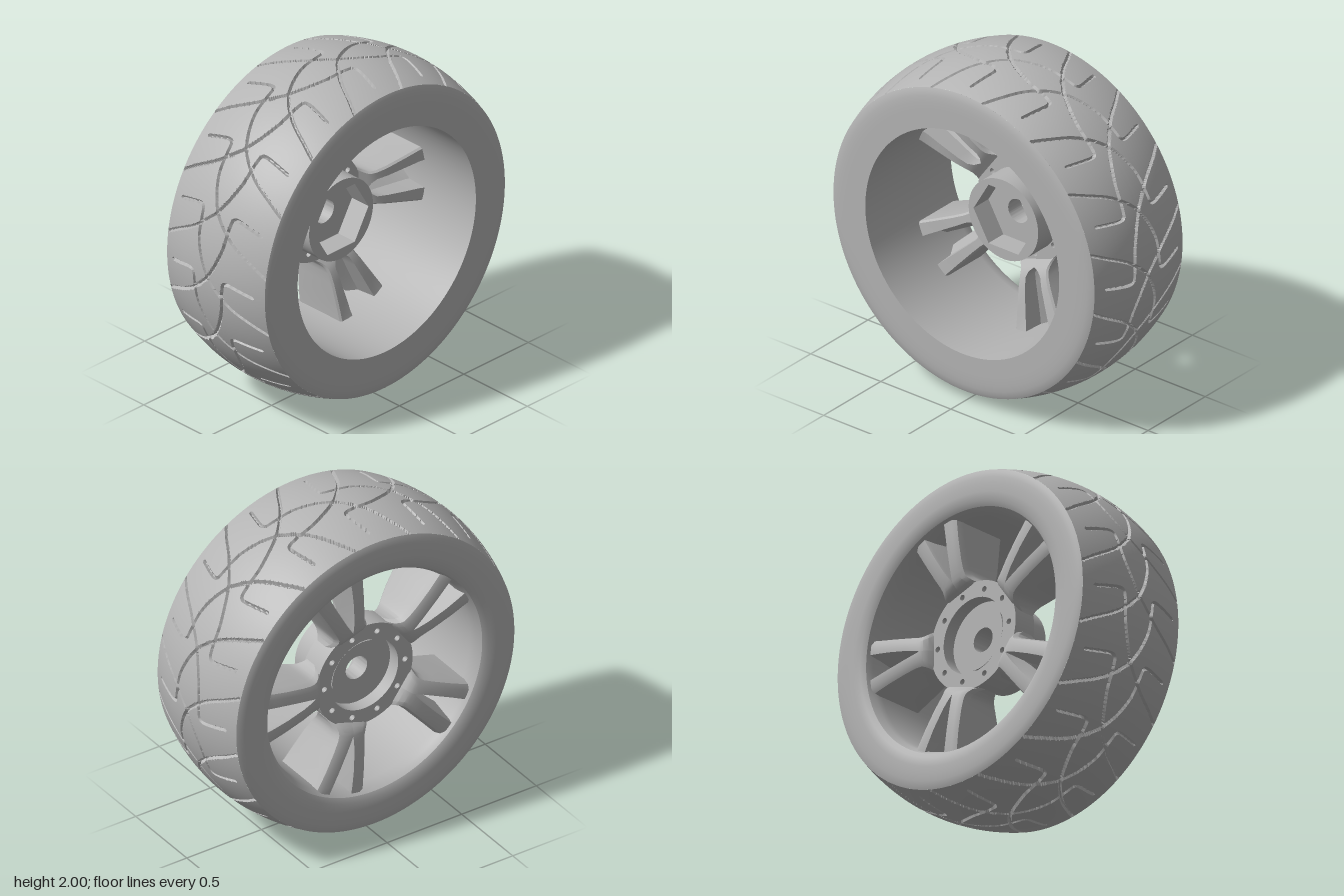
import * as THREE from 'three';
import { toCreasedNormals } from 'three/addons/utils/BufferGeometryUtils.js';

const grey = new THREE.MeshStandardMaterial({ color: 0xb4b4b4 });
grey.name = 'grey';

const REPEATS = 16, STEPS = 48, ROWS = 84; // tread pattern repeats and grid
const EDGE = 0.385;                        // half width of the tread band
const crown = z => 1 - 0.46 * z * z;       // tread radius across the width

function part(name, geometry, crease = 0.5) {
  const mesh = new THREE.Mesh(toCreasedNormals(geometry, crease), grey);
  mesh.name = name;
  return mesh;
}

function meshFrom(positions, index) {
  const g = new THREE.BufferGeometry();
  g.setAttribute('position', new THREE.Float32BufferAttribute(positions, 3));
  g.setIndex(index);
  return g;
}

// Profile of [radius, z] turned around the z axis
function turned(profile, segments = 96) {
  const pts = profile.map(([r, z]) => new THREE.Vector2(r, z));
  return new THREE.LatheGeometry(pts, segments).rotateX(Math.PI / 2);
}

// Flat disc with holes, from z0 to z1
function plate(radius, holes, z0, z1) {
  const shape = new THREE.Shape().absarc(0, 0, radius, 0, Math.PI * 2);
  shape.holes.push(...holes);
  return new THREE.ExtrudeGeometry(shape, { depth: z1 - z0, bevelEnabled: false, curveSegments: 48 })
    .translate(0, 0, z0);
}

const roundHole = (x, y, r) => new THREE.Path().absarc(x, y, r, 0, Math.PI * 2, true);

// Segments of the groove pattern: one long arc ending in a hook, mirrored and repeated
function grooveSegments(period) {
  const path = [[0.7, 0.42], [0.5, 0.29], [0.28, 0.14], [-0.05, 0], [-0.5, -0.085], [-0.85, -0.105],
    [-1.02, -0.115], [-1.06, -0.145], [-1.03, -0.22], [-0.98, -0.31]];
  const pts = new THREE.SplineCurve(path.map(([u, z]) => new THREE.Vector2(u * period, z))).getPoints(60);
  const segments = [];
  for (const side of [1, -1]) for (let k = -2; k <= 3; k++) {
    const moved = pts.map(p => [p.x + k * period, p.y * side]);
    for (let i = 0; i < moved.length - 1; i++) segments.push([...moved[i], ...moved[i + 1]]);
  }
  return segments;
}

// Tread grid sunk along the grooves, with vertices pulled onto the groove edges
function treadGeometry() {
  const period = Math.PI * 2 / REPEATS, half = 0.011, snap = 0.0046, depth = 0.02;
  const segments = grooveSegments(period);
  const cell = [];
  for (let i = 0; i < STEPS; i++) for (let j = 0; j <= ROWS; j++) {
    let a = i / STEPS * period, z = -EDGE + 2 * EDGE * j / ROWS, drop = 0;
    let best = 9, dx = 0, dz = 0;
    for (const [x0, z0, x1, z1] of segments) {
      const ex = x1 - x0, ez = z1 - z0;
      const t = THREE.MathUtils.clamp(((a - x0) * ex + (z - z0) * ez) / (ex * ex + ez * ez), 0, 1);
      const px = a - x0 - t * ex, pz = z - z0 - t * ez, d = Math.hypot(px, pz);
      if (d < best) { best = d; dx = px; dz = pz; }
    }
    if (j > 0 && j < ROWS) {
      if (Math.abs(best - half) < snap) {
        a += dx * (half / best - 1);
        z = THREE.MathUtils.clamp(z + dz * (half / best - 1), -EDGE, EDGE);
      } else if (best < half) drop = depth;
    }
    cell.push([a, z, crown(z) - drop]);
  }
  const positions = [], index = [], n = REPEATS * STEPS, row = ROWS + 1;
  for (let k = 0; k < REPEATS; k++) for (const [a, z, r] of cell) {
    positions.push(r * Math.cos(a + k * period), r * Math.sin(a + k * period), z);
  }
  for (let i = 0; i < n; i++) for (let j = 0; j < ROWS; j++) {
    const a = i * row + j, b = (i + 1) % n * row + j;
    index.push(a, b, b + 1, a, b + 1, a + 1);
  }
  return meshFrom(positions, index);
}

// One leg of a forked spoke, lofted outward along +x; side mirrors it
function spokeLeg(side) {
  // radius, half width, front z, back z, slot half widths: front, middle, back
  const stations = [
    [0.295, 0.14, -0.135, -0.272, 0, 0, 0],
    [0.315, 0.122, -0.12, -0.305, 0, 0, 0],
    [0.34, 0.108, -0.1, -0.325, 0, 0, 0],
    [0.36, 0.104, -0.085, -0.333, 0.035, 0, 0],
    [0.39, 0.107, -0.07, -0.34, 0.055, 0, 0.008],
    [0.45, 0.12, -0.05, -0.35, 0.062, 0.006, 0.022],
    [0.57, 0.147, -0.025, -0.36, 0.076, 0.022, 0.045],
    [0.66, 0.168, -0.008, -0.362, 0.086, 0.034, 0.06],
    [0.74, 0.19, 0.02, -0.362, 0.095, 0.045, 0.072],
  ];
  const positions = [], index = [];
  let count = 0;
  for (const [r, w, f, b, sf, sm, sb] of stations) {
    const m = (f + b) / 2;
    const section = [
      [sm, m], [sb, b + 0.02], [sb * 1.15, b], [w - 0.045, b], [w - 0.015, b + 0.014], [w, b + 0.05],
      [w, f - 0.012], [w - 0.01, f], [sf, f], [sf * 0.9, m + 0.06],
    ];
    if (side < 0) section.reverse();
    for (const [y, z] of section) positions.push(r, y * side, z);
    count = section.length;
  }
  for (let i = 0; i < stations.length - 1; i++) for (let j = 0; j < count; j++) {
    const a = i * count + j, b = i * count + (j + 1) % count;
    index.push(a, b, b + count, a, b + count, a + count);
  }
  return meshFrom(positions, index);
}

export function createModel() {
  const model = new THREE.Group();
  model.name = 'wheel';
  const wheel = new THREE.Group();
  wheel.name = 'wheelAssembly';
  wheel.position.y = 1;
  model.add(wheel);

  // Tyre: grooved tread, then sidewalls and rim barrel in one turned band
  wheel.add(part('tread', treadGeometry(), 0.6));
  wheel.add(part('sidewallsAndRim', turned([
    [crown(EDGE), EDGE], [0.912, 0.393], [0.885, 0.397], [0.85, 0.4], [0.8, 0.4], [0.692, 0.4],
    [0.692, -0.3], [0.7, -0.345], [0.72, -0.38], [0.75, -0.397], [0.8, -0.4], [0.85, -0.4],
    [0.885, -0.397], [0.912, -0.393], [crown(EDGE), -EDGE],
  ], 144)));

  // Hub flange with a ring of bolt holes
  const boltHoles = [];
  for (let i = 0; i < 10; i++) {
    const a = i * Math.PI / 5;
    boltHoles.push(roundHole(0.27 * Math.cos(a), 0.27 * Math.sin(a), 0.017));
  }
  wheel.add(part('hubFlange', plate(0.322, [roundHole(0, 0, 0.225), ...boltHoles], -0.28, -0.13)));

  // Sloping wall of the rear recess
  wheel.add(part('rearRecess', turned([[0.175, -0.19], [0.19, -0.23], [0.205, -0.262], [0.226, -0.272]].reverse()
    .map(([r, z]) => [r, z]), 64)));

  // Hub core with the axle bore, and the hexagonal socket in front of it
  wheel.add(part('hubCore', plate(0.248, [roundHole(0, 0, 0.072)], -0.2, -0.09)));
  const hexagon = new THREE.Path();
  hexagon.setFromPoints([0, 1, 2, 3, 4, 5, 6].map(i =>
    new THREE.Vector2(0.213 * Math.cos(i * Math.PI / 3), -0.213 * Math.sin(i * Math.PI / 3))));
  wheel.add(part('hexSocket', plate(0.248, [hexagon], -0.09, 0.04)));

  // Five forked spokes
  for (let i = 0; i < 5; i++) {
    const spoke = new THREE.Group();
    spoke.name = 'spoke' + (i + 1);
    spoke.add(part('leftLeg', spokeLeg(1)), part('rightLeg', spokeLeg(-1)));
    spoke.rotation.z = i * Math.PI * 2 / 5;
    wheel.add(spoke);
  }
  return model;
}
